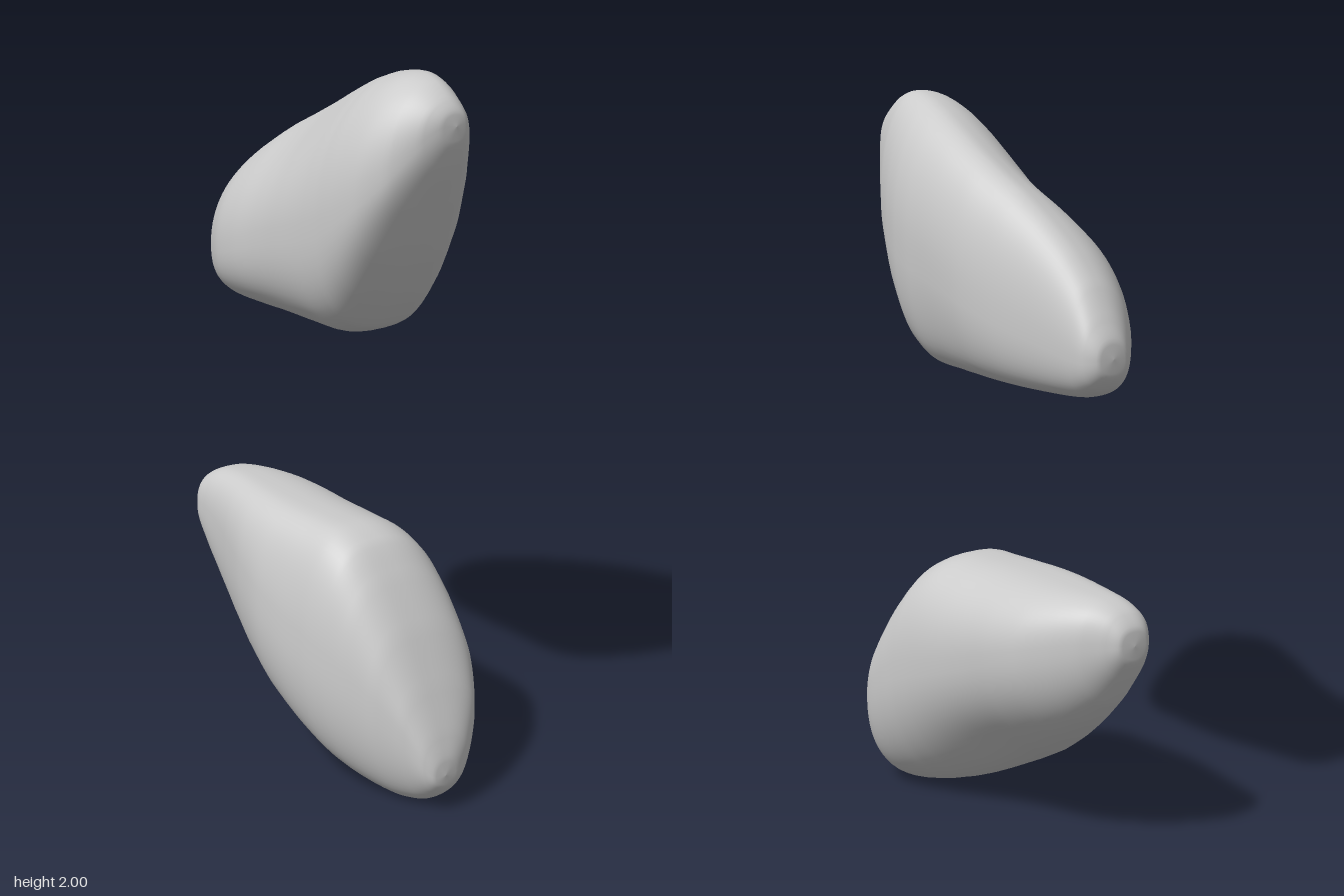
import * as THREE from 'three';

// Cross-sections along x: [x, bottom y, widest y, top y, back z, ridge z, front z], y measured from the middle height 1
const SECTIONS = [
  [-0.525, 0.385, 0.385, 0.385, -0.04, -0.04, -0.04],
  [-0.52, 0.34, 0.385, 0.43, -0.085, -0.04, 0.005],
  [-0.49, 0.30, 0.39, 0.488, -0.113, -0.036, 0.04],
  [-0.44, 0.275, 0.40, 0.563, -0.122, -0.03, 0.085],
  [-0.37, 0.266, 0.42, 0.635, -0.134, -0.03, 0.132],
  [-0.28, 0.264, 0.45, 0.713, -0.158, -0.04, 0.178],
  [-0.18, 0.264, 0.485, 0.79, -0.188, -0.05, 0.198],
  [-0.06, 0.265, 0.53, 0.86, -0.215, -0.055, 0.208],
  [0.06, 0.266, 0.57, 0.918, -0.222, -0.05, 0.218],
  [0.16, 0.27, 0.60, 0.957, -0.218, -0.043, 0.22],
  [0.23, 0.30, 0.625, 0.977, -0.205, -0.033, 0.22],
  [0.30, 0.382, 0.66, 0.992, -0.18, -0.02, 0.218],
  [0.38, 0.51, 0.71, 1.0, -0.142, -0.005, 0.205],
  [0.45, 0.655, 0.77, 0.985, -0.098, 0.005, 0.16],
  [0.50, 0.775, 0.85, 0.95, -0.062, 0.008, 0.095],
  [0.52, 0.84, 0.885, 0.92, -0.035, 0.005, 0.045],
  [0.525, 0.885, 0.885, 0.885, 0, 0, 0],
];

// Hollows (positive) and swellings (negative): [x, angle, depth, reach in x]
const DENTS = [
  [-0.05, 0.9, 0.17, 0.26],
  [0.05, 3.6, 0.1, 0.2],
  [-0.38, 2.3, -0.07, 0.15],
];

// Signed power for superellipse cross-sections
const spow = (v, e) => Math.sign(v) * Math.pow(Math.abs(v), e);

const dentScale = (x, a) => DENTS.reduce((k, [dx, da, depth, reach]) =>
  k - depth * Math.exp(-(((x - dx) / reach) ** 2) + 4 * (Math.cos(a - da) - 1)), 1);

function stoneGeometry(rings = 96, sides = 64) {
  const heights = new THREE.CatmullRomCurve3(SECTIONS.map(s => new THREE.Vector3(s[1], s[2], s[3])));
  const widths = new THREE.CatmullRomCurve3(SECTIONS.map(s => new THREE.Vector3(s[4], s[5], s[6])));
  const spine = new THREE.CatmullRomCurve3(SECTIONS.map(s => new THREE.Vector3(s[0], 0, 0)));
  const pos = [], index = [];
  for (let i = 0; i <= rings; i++) {
    const t = i / rings;
    const h = heights.getPoint(t), w = widths.getPoint(t), x = spine.getPoint(t).x;
    for (let j = 0; j < sides; j++) {
      const a = (j / sides) * Math.PI * 2, c = Math.cos(a), s = Math.sin(a);
      // Rounded crown above the widest line, boxier underside below it
      const e = s > 0 ? 0.96 : 0.78, k = dentScale(x, a);
      const y = h.y + k * spow(s, e) * (s > 0 ? h.z - h.y : h.y - h.x);
      const z = w.y + k * spow(c, e) * (c > 0 ? w.z - w.y : w.y - w.x);
      pos.push(x, y, z);
      if (i < rings) {
        const r = i * sides, n = (j + 1) % sides;
        index.push(r + j, r + sides + j, r + n, r + n, r + sides + j, r + sides + n);
      }
    }
  }
  const g = new THREE.BufferGeometry();
  g.setAttribute('position', new THREE.Float32BufferAttribute(pos, 3));
  g.setIndex(index);
  g.computeVertexNormals();
  return g;
}

export function createModel() {
  const group = new THREE.Group();
  const geometry = stoneGeometry();
  const material = new THREE.MeshStandardMaterial({ color: 0xcccccc });

  // The lower stone is the upper one turned half a revolution about x
  for (const [name, turn] of [['upperStone', 0], ['lowerStone', Math.PI]]) {
    const stone = new THREE.Mesh(geometry, material);
    stone.name = name;
    stone.position.y = 1;
    stone.rotation.x = turn;
    group.add(stone);
  }
  return group;
}
